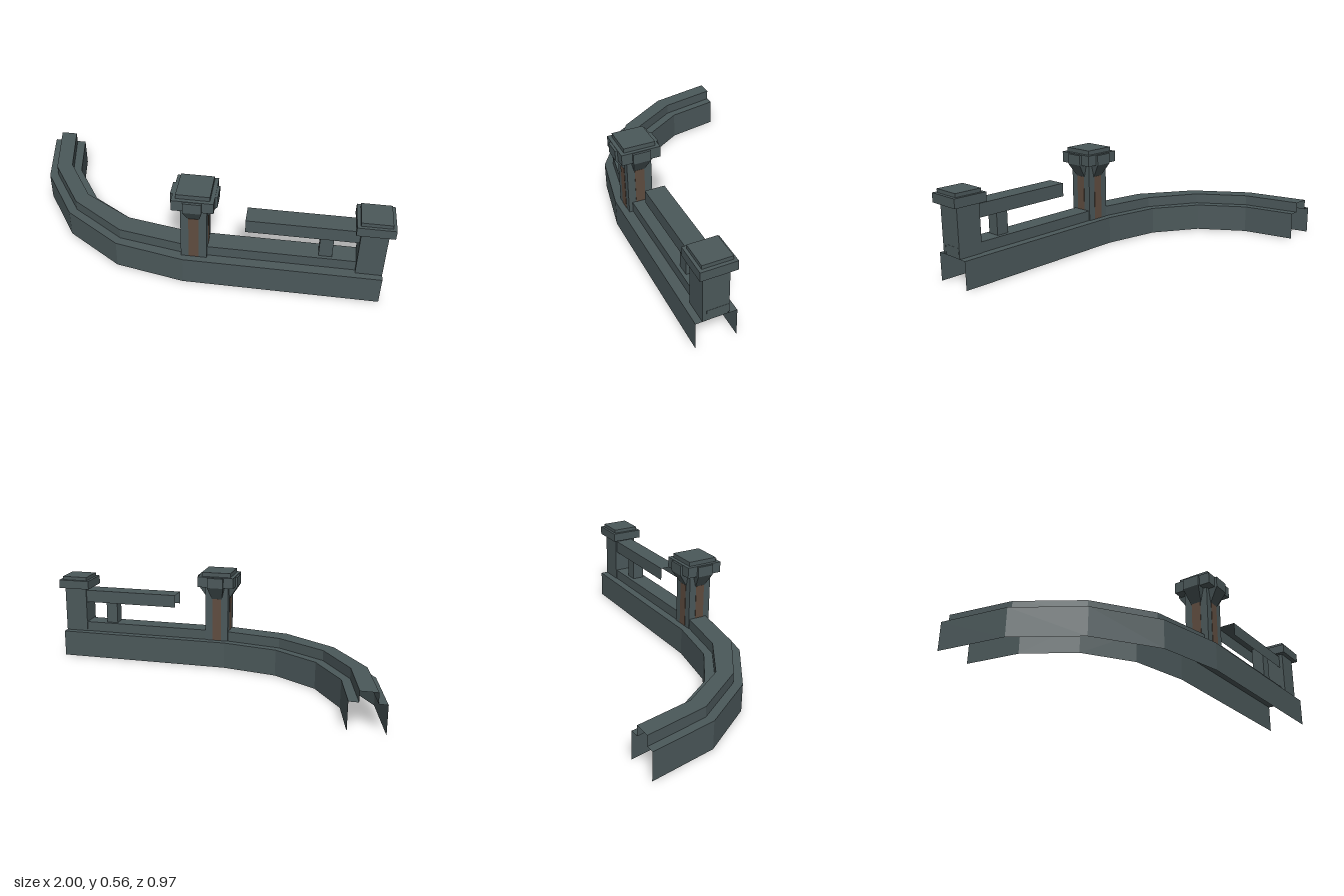
import * as THREE from 'three';

const stone = new THREE.MeshStandardMaterial({ color: 0x4b585a, side: THREE.DoubleSide, flatShading: true });
stone.name = 'slateStone';
const rust = new THREE.MeshStandardMaterial({ color: 0x5f4c3f });
rust.name = 'rustBrown';

function add(parent, name, geometry, material, x = 0, y = 0, z = 0) {
  const mesh = new THREE.Mesh(geometry, material);
  mesh.name = name;
  mesh.position.set(x, y, z);
  parent.add(mesh);
  return mesh;
}

// Box standing on y0, centred in x and z
function block(parent, name, w, d, y0, y1, x = 0, z = 0, material = stone) {
  return add(parent, name, new THREE.BoxGeometry(w, y1 - y0, d), material, x, (y0 + y1) / 2, z);
}

// Open skin through rows of points
function skin(rows) {
  const pos = [], index = [], n = rows[0].length;
  rows.forEach(row => row.forEach(p => pos.push(...p)));
  for (let i = 0; i < rows.length - 1; i++) {
    for (let j = 0; j < n - 1; j++) {
      const a = i * n + j, b = a + n;
      index.push(a, b, a + 1, b, b + 1, a + 1);
    }
  }
  const g = new THREE.BufferGeometry();
  g.setAttribute('position', new THREE.Float32BufferAttribute(pos, 3));
  g.setIndex(index);
  const flat = g.toNonIndexed();
  flat.computeVertexNormals();
  return flat;
}

// Hollow stepped wall: its plan lines, from the curved end to the straight end
function wallGeometry() {
  const outer = [[-1, -0.49], [-0.927, -0.123], [-0.719, 0.189], [-0.407, 0.397], [-0.04, 0.468], [0.97, 0.468]];
  const tierOuter = [[-0.955, -0.49], [-0.882, -0.14], [-0.685, 0.155], [-0.393, 0.351], [-0.04, 0.413], [0.97, 0.413]];
  const tierInner = [[-0.865, -0.49], [-0.8, -0.172], [-0.635, 0.083], [-0.367, 0.246], [-0.04, 0.305], [0.97, 0.305]];
  const inner = [[-0.815, -0.49], [-0.758, -0.2], [-0.6, 0.043], [-0.355, 0.2], [-0.04, 0.259], [0.97, 0.259]];
  const profile = [[outer, 0], [outer, 0.153], [tierOuter, 0.153], [tierOuter, 0.21],
    [tierInner, 0.21], [tierInner, 0.153], [inner, 0.153], [inner, 0]];
  return skin(outer.map((_, i) => profile.map(([line, y]) => [line[i][0], y, line[i][1]])));
}

// Bracket that flares outwards to +z under the tower cap
function bracketGeometry() {
  const g = new THREE.BoxGeometry(1, 1, 1);
  const p = g.attributes.position;
  for (let i = 0; i < p.count; i++) {
    const top = p.getY(i) > 0, front = p.getZ(i) > 0;
    p.setXYZ(i, Math.sign(p.getX(i)) * (top ? 0.047 : 0.03), top ? 0.48 : 0.405,
      front ? (top ? 0.118 : 0.068) : 0.03);
  }
  g.computeVertexNormals();
  return g;
}

export function createModel() {
  const model = new THREE.Group();
  model.name = 'balustradeWall';
  add(model, 'wallBase', wallGeometry(), stone);

  // Middle tower with flared cap
  const tower = new THREE.Group();
  tower.name = 'tower';
  tower.position.set(0.0145, 0, 0.366);
  model.add(tower);
  block(tower, 'towerShaft', 0.134, 0.134, 0.153, 0.48);
  block(tower, 'towerCap', 0.21, 0.21, 0.48, 0.54);
  block(tower, 'towerCapPlate', 0.17, 0.17, 0.54, 0.564);
  for (let i = 0; i < 4; i++) {
    const side = new THREE.Group();
    side.name = 'towerSide' + (i + 1);
    side.rotation.y = i * Math.PI / 2;
    tower.add(side);
    add(side, 'capBracket', bracketGeometry(), stone);
    block(side, 'capBlock', 0.094, 0.03, 0.48, 0.537, 0, 0.103);
    block(side, 'shaftInlay', 0.052, 0.004, 0.155, 0.405, 0, 0.067, rust);
  }

  // End post
  const post = new THREE.Group();
  post.name = 'endPost';
  post.position.set(0.902, 0, 0.367);
  model.add(post);
  block(post, 'postShaft', 0.134, 0.134, 0.153, 0.42);
  block(post, 'postCap', 0.188, 0.184, 0.42, 0.47);
  block(post, 'postCapPlate', 0.152, 0.152, 0.47, 0.49);

  // Handrail: a channel open underneath, held up by a baluster
  const rail = [0.272, 0.84].map(x => [[x, 0.335, 0.413], [x, 0.408, 0.413], [x, 0.408, 0.308], [x, 0.335, 0.308]]);
  add(model, 'handrail', skin(rail), stone);
  block(model, 'baluster', 0.068, 0.068, 0.21, 0.408, 0.68, 0.361);
  return model;
}
